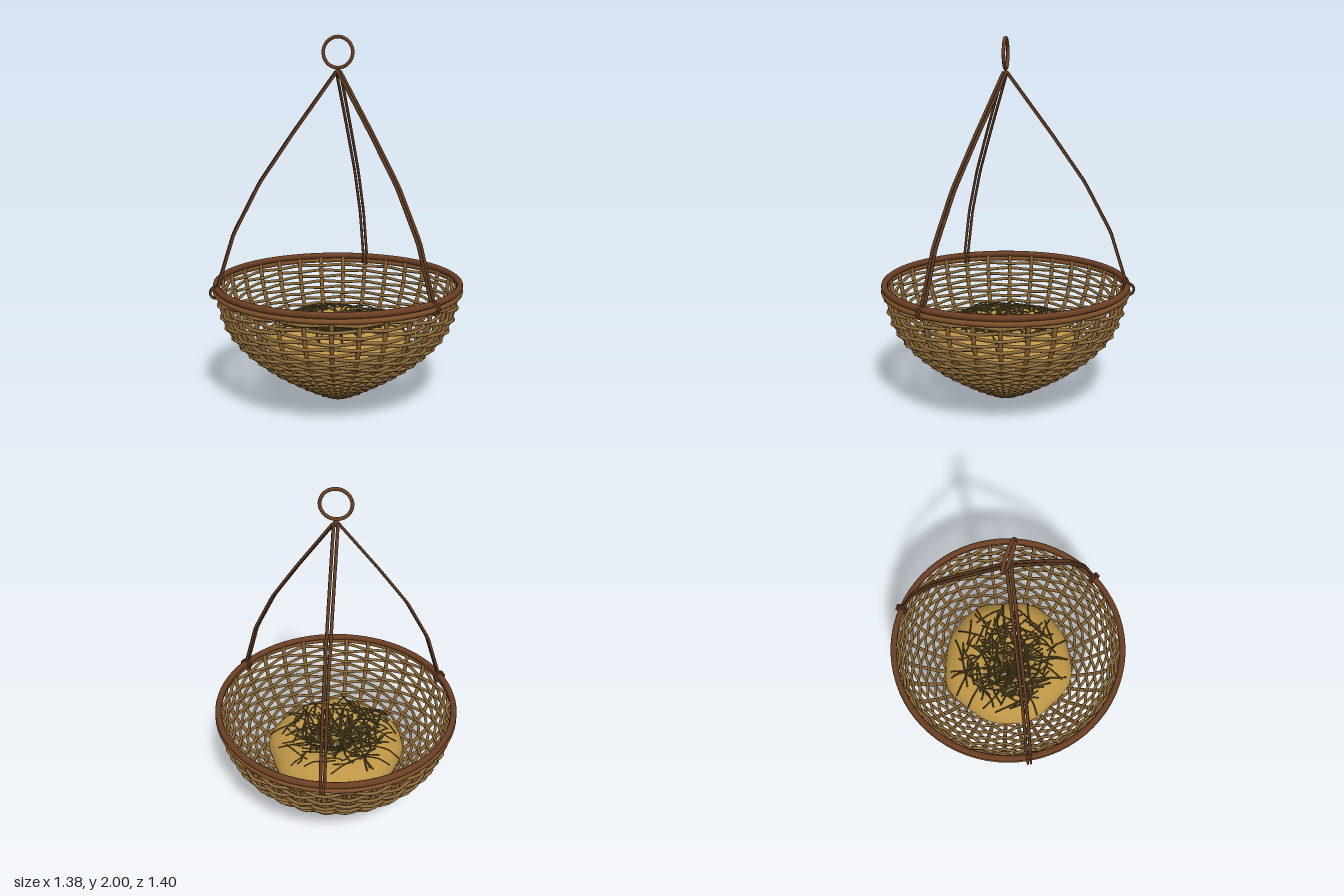
import * as THREE from 'three';
import { mergeGeometries } from 'three/addons/utils/BufferGeometryUtils.js';

const RIBS = 30, ROWS = 26;
const mat = (color) => new THREE.MeshStandardMaterial({ color });
const V = (x, y, z) => new THREE.Vector3(x, y, z);
// point at radius r, height y, angle a (0 = front)
const polar = (r, y, a) => V(r * Math.sin(a), y, r * Math.cos(a));

// small seeded generator for the straw
let seed = 7;
const rand = () => {
  seed = (seed * 16807) % 2147483647;
  return seed / 2147483647;
};

// bowl wall profile: x is radius, y is height
const wall = new THREE.SplineCurve([
  [0.07, 0.016], [0.12, 0.035], [0.24, 0.105], [0.385, 0.2], [0.505, 0.3],
  [0.59, 0.4], [0.635, 0.5], [0.655, 0.6], [0.665, 0.65],
].map(([r, y]) => new THREE.Vector2(r, y)));

function polyline(points) {
  const path = new THREE.CurvePath();
  for (let i = 1; i < points.length; i++) path.add(new THREE.LineCurve3(points[i - 1], points[i]));
  return path;
}

export function createModel() {
  const model = new THREE.Group();
  const basket = new THREE.Group();
  basket.name = 'hangingBasket';
  basket.position.z = 0.01;
  model.add(basket);

  const rimMat = mat(0x6b3f24), handleMat = mat(0x5f3a22), ribMat = mat(0x8f6636);
  const weaveMat = mat(0x8c6a3a), nestMat = mat(0xbd9546), strawMat = mat(0x6b5a2e);

  const add = (name, geometry, material, parent = basket) => {
    const mesh = new THREE.Mesh(geometry, material);
    mesh.name = name;
    parent.add(mesh);
    return mesh;
  };
  const ring = (name, R, tube, y, material) => {
    const mesh = add(name, new THREE.TorusGeometry(R, tube, 10, 72), material);
    mesh.rotation.x = Math.PI / 2;
    mesh.position.y = y;
    return mesh;
  };

  // upright ribs following the wall
  const ribs = [];
  for (let i = 0; i < RIBS; i++) {
    const a = (i / RIBS) * Math.PI * 2;
    const pts = wall.getSpacedPoints(10).map((p) => polar(p.x, p.y, a));
    ribs.push(new THREE.TubeGeometry(new THREE.CatmullRomCurve3(pts), 18, 0.012, 6));
  }
  add('ribs', mergeGeometries(ribs), ribMat);

  // horizontal strands passing in and out of the ribs, alternating by row
  const rows = [];
  for (let j = 0; j < ROWS; j++) {
    const p = wall.getPointAt(((j + 0.4) / ROWS) * 0.97);
    const pts = [];
    for (let k = 0; k < RIBS * 2; k++) {
      const side = k % 2 ? 0 : ((k / 2 + j) % 2 ? 1 : -1);
      pts.push(polar(p.x + side * 0.016, p.y, (k / (RIBS * 2)) * Math.PI * 2));
    }
    const curve = new THREE.CatmullRomCurve3(pts, true);
    curve.arcLengthDivisions = 480;
    rows.push(new THREE.TubeGeometry(curve, 120, 0.0095, 6, true));
  }
  add('wovenStrands', mergeGeometries(rows), weaveMat);

  // rim hoops and base rings
  ring('upperRim', 0.671, 0.018, 0.66, rimMat);
  ring('lowerRim', 0.675, 0.015, 0.63, mat(0x7d5029));
  ring('baseRing', 0.075, 0.012, 0.012, ribMat);
  ring('innerBaseRing', 0.05, 0.01, 0.016, weaveMat);

  // nest: a squashed, slightly uneven ring of padding
  const nestR = 0.24, nestTube = 0.155, nestY = 0.33, nestH = 0.11;
  const nest = new THREE.TorusGeometry(nestR, nestTube, 18, 56);
  nest.rotateX(Math.PI / 2);
  const pos = nest.attributes.position;
  for (let i = 0; i < pos.count; i++) {
    const x = pos.getX(i), z = pos.getZ(i), a = Math.atan2(x, z);
    const s = 1 + 0.018 * Math.sin(5 * a + 1) + 0.012 * Math.cos(8 * a);
    pos.setXYZ(i, x * s, (pos.getY(i) * nestH) / nestTube, z * s);
  }
  nest.computeVertexNormals();
  add('nest', nest, nestMat).position.y = nestY;

  // loose straw lying over the nest
  const onNest = (x, z) => {
    const d = Math.min(1, Math.abs(Math.hypot(x, z) - nestR) / nestTube);
    return V(x, nestY + nestH * Math.sqrt(1 - d * d * 0.85) + rand() * 0.025, z);
  };
  const straws = [];
  for (let i = 0; i < 190; i++) {
    const a = rand() * Math.PI * 2, r = 0.06 + 0.26 * rand();
    const x = r * Math.sin(a), z = r * Math.cos(a);
    const dir = rand() * Math.PI * 2, half = 0.05 + 0.06 * rand();
    const pts = [-1, -0.35, 0.35, 1].map((t) => {
      const bend = dir + (t > 0 ? 0.5 : 0) * (rand() - 0.5);
      return onNest(x + t * half * Math.cos(bend), z + t * half * Math.sin(bend));
    });
    straws.push(new THREE.TubeGeometry(new THREE.CatmullRomCurve3(pts), 6, 0.0042, 4));
  }
  add('straw', mergeGeometries(straws), strawMat);

  // three double hangers, each tied around the rim with a loop
  const hangerPath = [[0.008, 1.81], [0.25, 1.485], [0.43, 1.23], [0.575, 0.96], [0.668, 0.67]];
  for (let i = 0; i < 3; i++) {
    const hanger = new THREE.Group();
    hanger.name = 'hanger' + (i + 1);
    hanger.rotation.y = Math.PI + (i * Math.PI * 2) / 3;
    basket.add(hanger);
    for (const side of [-1, 1]) {
      const pts = hangerPath.map(([r, y]) => V(side * 0.011, y, r));
      add('hangerStrand', new THREE.TubeGeometry(polyline(pts), 32, 0.0085, 6), handleMat, hanger);
      const loop = add('rimLoop', new THREE.TorusGeometry(0.03, 0.006, 6, 20), rimMat, hanger);
      loop.rotation.y = Math.PI / 2;
      loop.position.set(side * 0.009, 0.643, 0.678);
    }
  }

  // knot and ring for hanging
  add('knot', new THREE.SphereGeometry(0.017, 12, 8), handleMat).position.y = 1.805;
  add('hangingRing', new THREE.TorusGeometry(0.081, 0.0095, 10, 40), rimMat).position.y = 1.91;

  return model;
}
